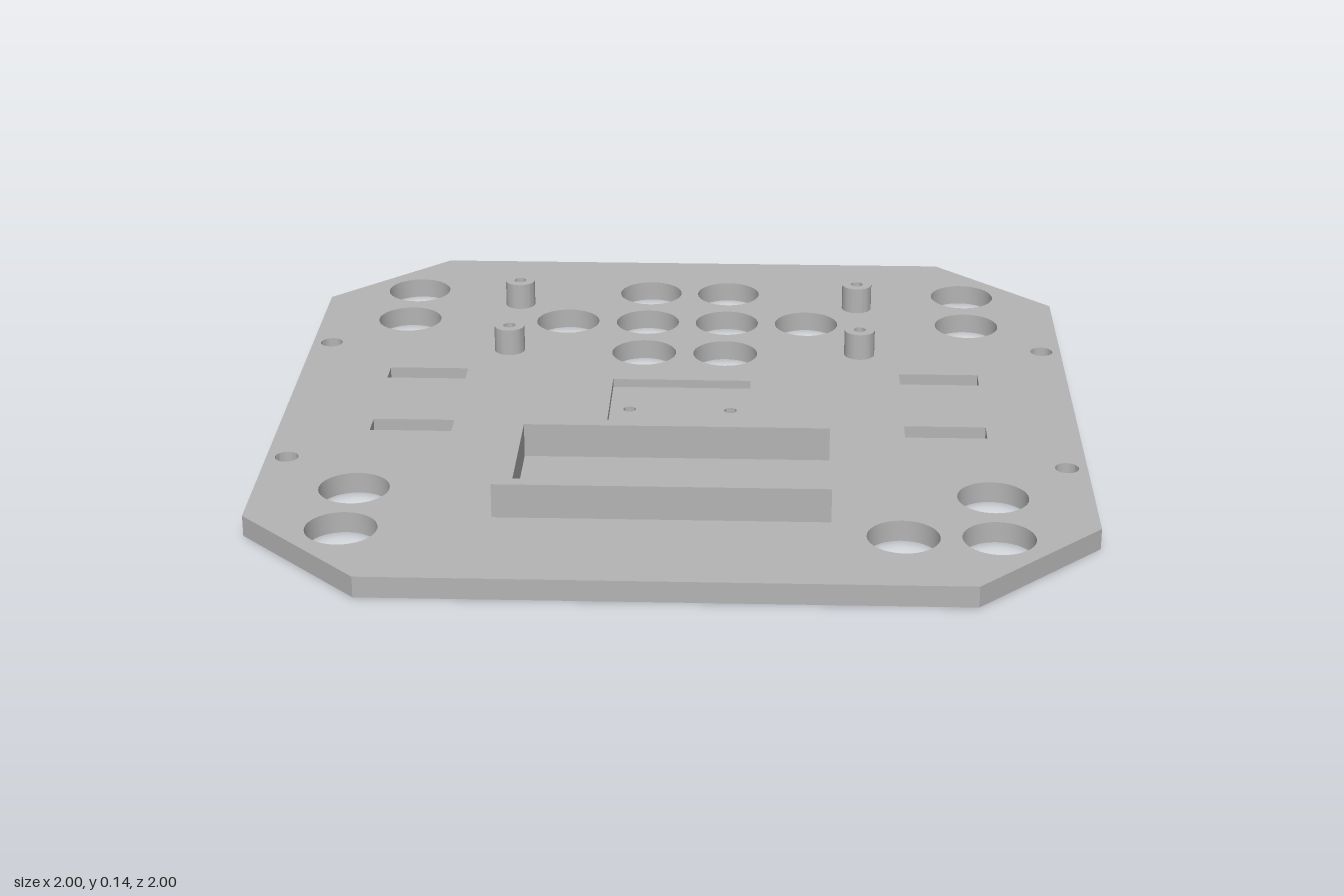
import * as THREE from 'three';
import { toCreasedNormals } from 'three/addons/utils/BufferGeometryUtils.js';

const PLATE = 0.052, POCKET_FLOOR = 0.03;

// Closed outline from [x, z] corners
const outline = (pts, Type = THREE.Shape) => new Type(pts.map(([x, z]) => new THREE.Vector2(x, z)));
const rect = (x0, z0, x1, z1, Type) => outline([[x0, z0], [x1, z0], [x1, z1], [x0, z1]], Type);
const circle = (x, z, r, Type = THREE.Path) => {
  const c = new Type();
  c.absarc(x, z, r, 0, Math.PI * 2, false);
  return c;
};

// Extrude an x/z outline upward from y0 to y1
function slab(name, shape, holes, y0, y1, material) {
  shape.holes.push(...holes);
  let geo = new THREE.ExtrudeGeometry(shape, { depth: y1 - y0, bevelEnabled: false, curveSegments: 20 });
  geo.rotateX(Math.PI / 2).translate(0, y1, 0);
  geo = toCreasedNormals(geo, 0.6);
  const mesh = new THREE.Mesh(geo, material);
  mesh.name = name;
  return mesh;
}

export function createModel() {
  const group = new THREE.Group();
  group.name = 'mountingPlate';
  const grey = new THREE.MeshStandardMaterial({ color: 0xb4b4b4 });
  grey.name = 'grey';

  // Large round cut-outs
  const big = [
    [-0.76, -0.76], [-0.76, -0.543], [0.76, -0.76], [0.76, -0.543],
    [-0.76, 0.54], [-0.76, 0.757], [0.76, 0.54], [0.76, 0.757], [0.54, 0.757],
    [-0.108, -0.76], [0.108, -0.76], [-0.326, -0.543], [-0.108, -0.543],
    [0.108, -0.543], [0.324, -0.543], [-0.108, -0.327], [0.108, -0.327],
  ];
  const holes = big.map(([x, z]) => circle(x, z, 0.085));

  // Edge screw holes and strap slots, mirrored
  for (const sx of [-1, 1]) {
    for (const sz of [-1, 1]) {
      holes.push(circle(sx * 0.95, sz * 0.368, 0.029));
      const x = sx * 0.667, z = sz * 0.167;
      holes.push(rect(x - 0.102, z - 0.034, x + 0.102, z + 0.034, THREE.Path));
    }
  }

  // Octagonal base with an opening for the pocket
  const pocket = [-0.18, -0.143, 0.178, 0.139];
  holes.push(rect(...pocket, THREE.Path));
  const c = 0.7;
  const octagon = outline([[-c, -1], [c, -1], [1, -c], [1, c], [c, 1], [-c, 1], [-1, c], [-1, -c]]);
  group.add(slab('basePlate', octagon, holes, 0, PLATE, grey));

  // Pocket floor with two pin holes
  const pins = [-0.13, 0.128].map((x) => circle(x, 0, 0.016));
  group.add(slab('pocketFloor', rect(...pocket), pins, 0, POCKET_FLOOR, grey));

  // Hollow standoffs
  for (const x of [-0.467, 0.464]) {
    for (const z of [-0.668, -0.335]) {
      group.add(slab('standoff', circle(x, z, 0.04, THREE.Shape), [circle(x, z, 0.016)], PLATE, 0.122, grey));
    }
  }

  // U-shaped holder wall, open toward +x
  const holder = outline([
    [-0.417, 0.31], [0.375, 0.31], [0.375, 0.343], [-0.369, 0.343],
    [-0.369, 0.654], [0.375, 0.654], [0.375, 0.687], [-0.417, 0.687],
  ]);
  group.add(slab('holderWall', holder, [], PLATE, 0.137, grey));

  return group;
}
